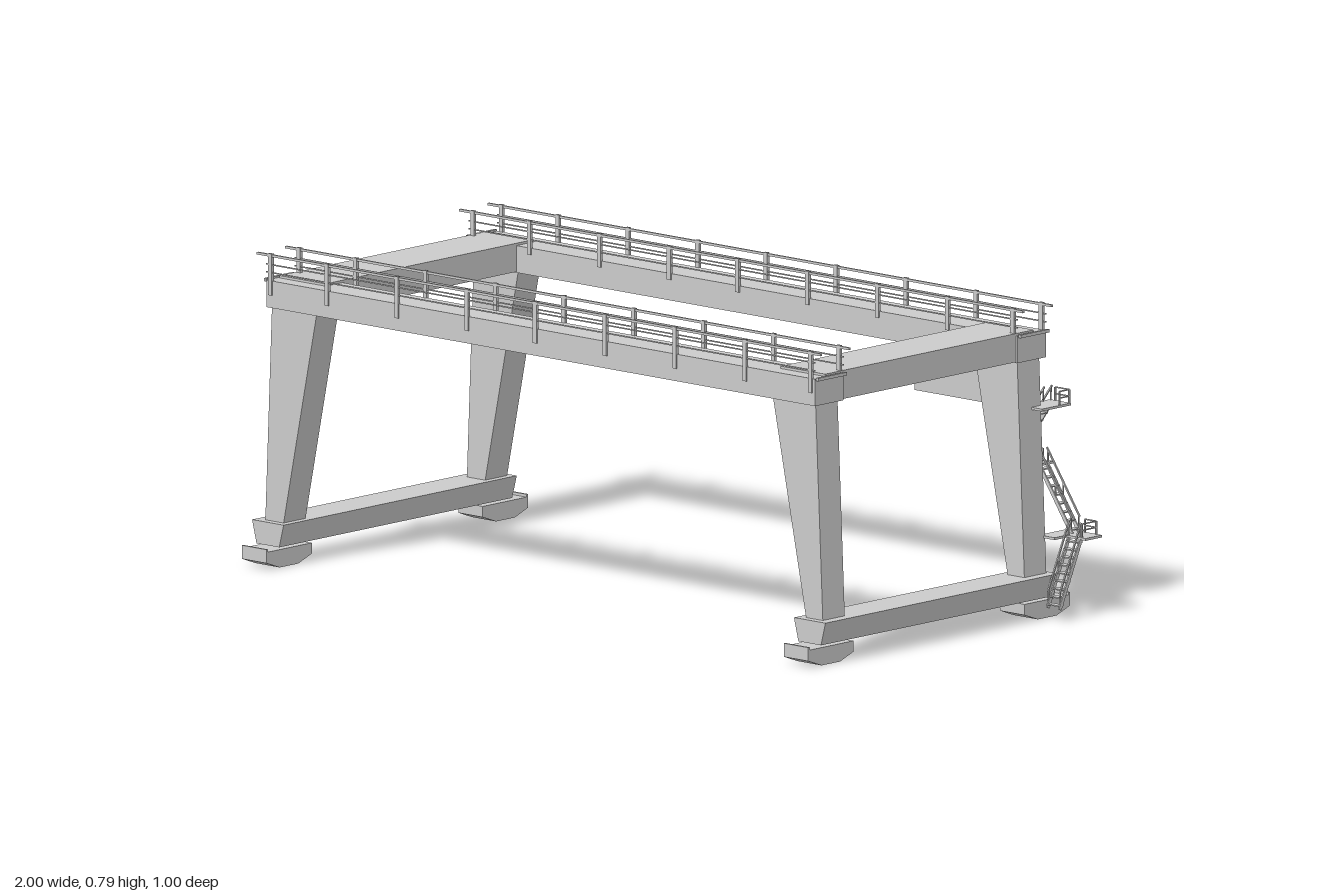
import * as THREE from 'three';

const mat = new THREE.MeshStandardMaterial({ color: 0xcccccc, flatShading: true });

export function createModel() {
  const root = new THREE.Group();
  root.name = 'gantryCrane';

  function add(parent, name, geo) {
    const m = new THREE.Mesh(geo, mat);
    m.name = name;
    parent.add(m);
    return m;
  }
  function group(name) {
    const g = new THREE.Group();
    g.name = name;
    root.add(g);
    return g;
  }
  // Box given by its limits on each axis
  function box(parent, name, x0, x1, y0, y1, z0, z1) {
    const m = add(parent, name, new THREE.BoxGeometry(x1 - x0, y1 - y0, z1 - z0));
    m.position.set((x0 + x1) / 2, (y0 + y1) / 2, (z0 + z1) / 2);
    return m;
  }
  // Thin bar between two points
  function bar(parent, name, a, b, t = 0.005, h = t) {
    const p = new THREE.Vector3(...a), q = new THREE.Vector3(...b);
    const m = add(parent, name, new THREE.BoxGeometry(t, h, p.distanceTo(q)));
    m.position.copy(p).add(q).multiplyScalar(0.5);
    m.lookAt(q);
    return m;
  }
  // Outline in x,y pushed from z0 to z1
  function prism(parent, name, pts, z0, z1) {
    const shape = new THREE.Shape(pts.map(p => new THREE.Vector2(...p)));
    const geo = new THREE.ExtrudeGeometry(shape, { depth: z1 - z0, bevelEnabled: false });
    geo.translate(0, 0, z0);
    return add(parent, name, geo);
  }

  // Main girders with walkway railings
  const postX = [-0.945, -0.755, -0.52, -0.285, -0.055, 0.18, 0.415, 0.65, 0.87];
  for (const [name, z0, z1, out] of [['front', 0.338, 0.442, 1], ['back', -0.4, -0.296, -1]]) {
    const g = group(name + 'Girder');
    box(g, 'girder', -0.96, 0.885, 0.648, 0.716, z0, z1);
    for (const z of [z0, z1]) {
      const outer = (z === z1) === (out > 0);
      for (const x of postX)
        box(g, 'railingPost', x - 0.006, x + 0.006, outer ? 0.68 : 0.7, 0.785, z - 0.004, z + 0.004);
      bar(g, 'topRail', [-0.99, 0.78, z], [0.905, 0.78, z], 0.006);
      for (const y of [0.757, 0.737]) bar(g, 'midRail', [-0.96, y, z], [0.885, y, z], 0.003);
    }
    for (const x of [-0.965, 0.892]) bar(g, 'endBar', [x, 0.716, z0], [x, 0.716, z1], 0.008);
  }

  // End frames: cross beam, tapered legs, sill beam and wheel bogies
  const ends = [
    { name: 'right', cross: [-0.955, -0.8], leg: [-0.952, -0.8, -0.915, -0.975], cx: -0.948 },
    { name: 'left', cross: [0.73, 0.88], leg: [0.73, 0.875, 0.9, 0.845], cx: 0.874 },
  ];
  for (const { name, cross, leg, cx } of ends) {
    const g = group(name + 'EndFrame');
    box(g, 'crossBeam', cross[0], cross[1], 0.65, 0.722, -0.36, 0.4);
    for (const [z0, z1] of [[0.35, 0.43], [-0.385, -0.305]])
      prism(g, 'leg', [[leg[3], 0.1], [leg[2], 0.1], [leg[1], 0.66], [leg[0], 0.66]], z0, z1);
    prism(g, 'sillBeam', [[cx - 0.038, 0.05], [cx + 0.038, 0.05], [cx + 0.053, 0.108], [cx - 0.053, 0.108]], -0.4, 0.45);
    for (const [zc, s] of [[0.417, 1], [-0.372, -1]]) {
      const b = prism(g, 'wheelBogie', [[-0.083, 0.045], [-0.083, 0.018], [-0.034, 0], [0.034, 0], [0.083, 0.018], [0.083, 0.045]], -0.041, 0.041);
      b.rotation.y = -Math.PI / 2;
      b.position.set(cx, 0, zc);
      box(g, 'bogiePivot', cx - 0.012, cx + 0.012, 0.04, 0.055, zc - s * 0.02 - 0.012, zc - s * 0.02 + 0.012);
      const lip = zc + s * 0.08;
      box(g, 'buffer', cx - 0.041, cx + 0.041, 0.04, 0.052, lip - 0.003, lip + 0.003);
    }
  }

  // Control cabin under the back girder, with its platform
  const cabin = group('controlCabin');
  prism(cabin, 'cabin', [[0.525, 0.53], [0.765, 0.53], [0.735, 0.648], [0.59, 0.648], [0.525, 0.59]], -0.389, -0.31);
  box(cabin, 'cabinPlatform', 0.525, 0.915, 0.522, 0.528, -0.425, -0.385);
  box(cabin, 'platformLanding', 0.845, 0.915, 0.522, 0.528, -0.458, -0.352);

  // Flight of stairs from bottom to top, side is the half width vector
  function stairs(name, bottom, top, side, steps) {
    const g = group(name);
    const a = new THREE.Vector3(...bottom), b = new THREE.Vector3(...top), w = new THREE.Vector3(...side);
    const lift = new THREE.Vector3(0, 0.04, 0);
    for (const s of [-1, 1]) {
      const p = a.clone().addScaledVector(w, s), q = b.clone().addScaledVector(w, s);
      bar(g, 'stringer', p.toArray(), q.toArray(), 0.004, 0.01);
      const pu = p.clone().add(lift), qu = q.clone().add(lift);
      bar(g, 'handrail', pu.toArray(), qu.toArray(), 0.004);
      for (const t of [0.03, 0.5, 0.97]) {
        const c = p.clone().lerp(q, t);
        bar(g, 'handrailPost', c.toArray(), c.clone().add(lift).add(new THREE.Vector3(1e-4, 0, 0)).toArray(), 0.003);
      }
    }
    for (let i = 0; i < steps; i++) {
      const c = a.clone().lerp(b, (i + 0.5) / steps);
      const alongX = Math.abs(w.z) > 0;
      const hx = alongX ? 0.009 : w.x, hz = alongX ? w.z : 0.009;
      box(g, 'step', c.x - hx, c.x + hx, c.y - 0.0015, c.y + 0.0015, c.z - hz, c.z + hz);
    }
  }
  stairs('upperStairs', [0.735, 0.36, -0.44], [0.855, 0.525, -0.44], [0, 0, 0.014], 8);
  stairs('middleStairs', [0.925, 0.2, -0.465], [0.815, 0.36, -0.465], [0, 0, 0.014], 8);
  stairs('lowerStairs', [0.955, 0.03, -0.352], [0.955, 0.198, -0.43], [0.02, 0, 0], 9);

  // Landings between the flights
  const landings = group('stairLandings');
  box(landings, 'middleLanding', 0.675, 0.82, 0.357, 0.363, -0.497, -0.425);
  box(landings, 'middleLandingBracket', 0.77, 0.82, 0.357, 0.363, -0.43, -0.375);
  box(landings, 'lowerLanding', 0.915, 0.995, 0.196, 0.202, -0.485, -0.425);
  box(landings, 'lowerLandingBracket', 0.88, 0.932, 0.196, 0.202, -0.485, -0.38);

  // Guard rails: posts at each point, joined by two rails
  function guard(y, h, pts) {
    pts.forEach(([x, z], i) => {
      box(landings, 'guardPost', x - 0.002, x + 0.002, y, y + h, z - 0.002, z + 0.002);
      const n = pts[i + 1];
      if (n) for (const k of [0.55, 1]) bar(landings, 'guardRail', [x, y + h * k, z], [n[0], y + h * k, n[1]], 0.003);
    });
  }
  guard(0.36, 0.035, [[0.72, -0.428], [0.68, -0.428], [0.68, -0.48], [0.8, -0.48]]);
  guard(0.525, 0.037, [[0.865, -0.455], [0.912, -0.455], [0.912, -0.42]]);
  guard(0.2, 0.035, [[0.94, -0.482], [0.978, -0.482], [0.978, -0.43]]);

  return root;
}
